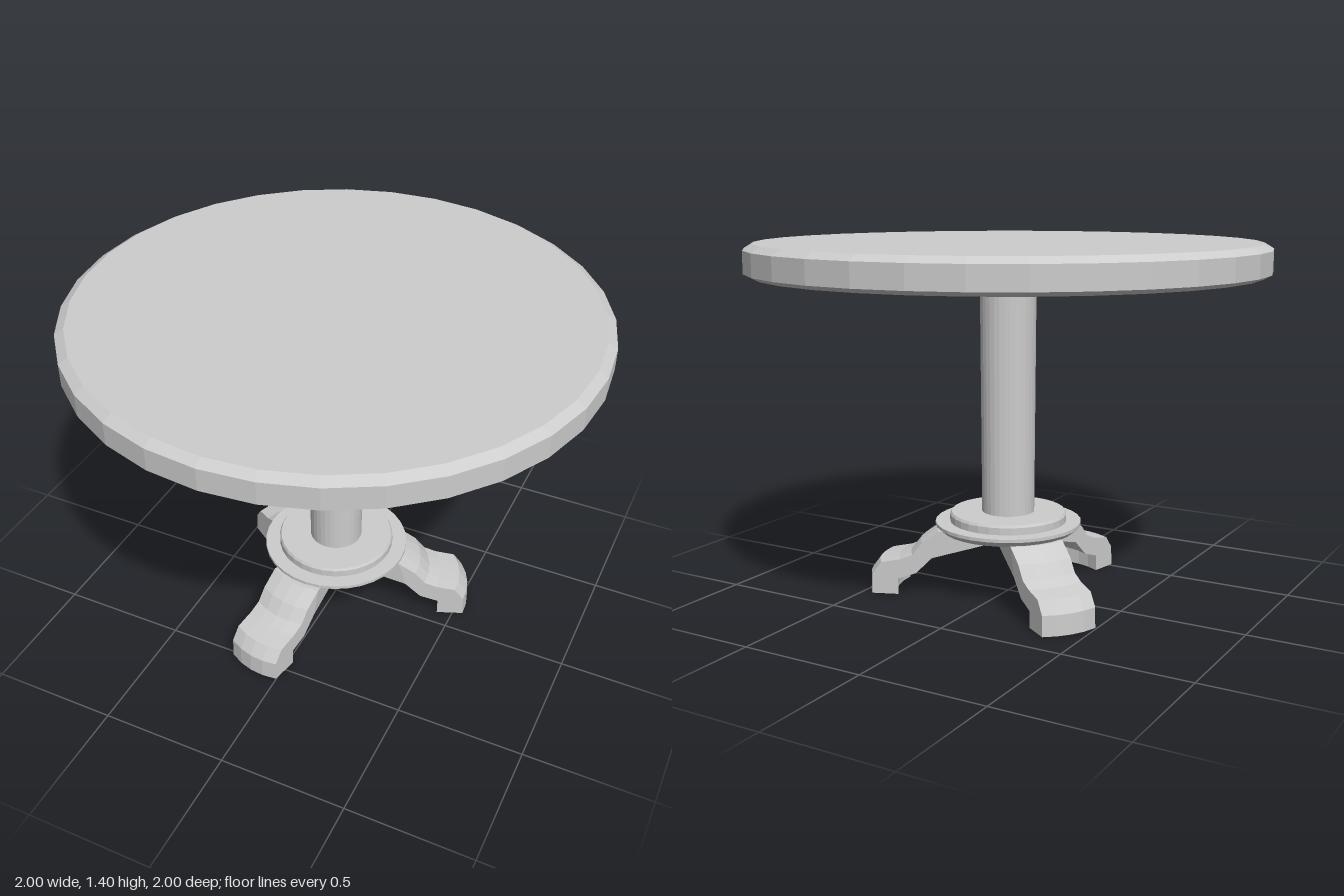
import * as THREE from 'three';

const grey = new THREE.MeshStandardMaterial({ color: 0xcccccc, flatShading: true });
grey.name = 'light grey';

// Turned part from [radius, height] points, listed bottom to top
function turned(name, points, sides) {
  const profile = points.map(([r, y]) => new THREE.Vector2(r, y));
  const mesh = new THREE.Mesh(new THREE.LatheGeometry(profile, sides), grey);
  mesh.name = name;
  return mesh;
}

// Side outline of a leg: [distance from the axis, height]
const LEG = [
  [0.06, 0.265], [0.29, 0.265], [0.36, 0.215], [0.4, 0.165], [0.45, 0.145],
  [0.53, 0.13], [0.567, 0.08], [0.57, 0],
  [0.46, 0], [0.46, 0.065], [0.385, 0.09], [0.32, 0.155], [0.06, 0.215],
];
const HALF_WIDTH = 0.11;

// Stepped leg, bowed outward across its width and narrower at the hub
function legGeometry() {
  const shape = new THREE.Shape(LEG.map(([r, y]) => new THREE.Vector2(r, y)));
  const geo = new THREE.ExtrudeGeometry(shape, { depth: 2, steps: 4, bevelEnabled: false });
  const pos = geo.attributes.position;
  for (let i = 0; i < pos.count; i++) {
    const r = pos.getX(i);
    const side = pos.getZ(i) - 1;
    const taper = Math.min(1, 0.6 + 0.4 * (r - 0.06) / 0.23);
    pos.setX(i, r - 0.022 * side * side * taper);
    pos.setZ(i, side * HALF_WIDTH * taper);
  }
  geo.computeVertexNormals();
  return geo;
}

export function createModel() {
  const table = new THREE.Group();
  table.name = 'pedestalTable';

  // Round top with chamfered rim
  table.add(turned('tableTop', [
    [0, 1.266], [0.97, 1.276], [1, 1.292], [1, 1.378], [0.965, 1.4], [0, 1.4],
  ], 32));

  // Central column
  table.add(turned('column', [[0.104, 0.32], [0.11, 1.275]], 32));

  // Two stacked discs joining the column and legs
  table.add(turned('basePlate', [
    [0, 0.262], [0.265, 0.262], [0.29, 0.284], [0.29, 0.297], [0, 0.297],
  ], 32));
  table.add(turned('baseCollar', [
    [0, 0.29], [0.232, 0.29], [0.232, 0.325], [0.226, 0.335], [0, 0.335],
  ], 32));

  // Three legs: heading in degrees from the front towards +x, and length scale
  const geo = legGeometry();
  const legs = [['frontLeg', -11.5, 1], ['leftLeg', 112, 0.98], ['rightLeg', -125, 0.96]];
  for (const [name, heading, length] of legs) {
    const leg = new THREE.Mesh(geo, grey);
    leg.name = name;
    leg.scale.x = length;
    leg.rotation.y = THREE.MathUtils.degToRad(heading - 90);
    table.add(leg);
  }
  return table;
}
